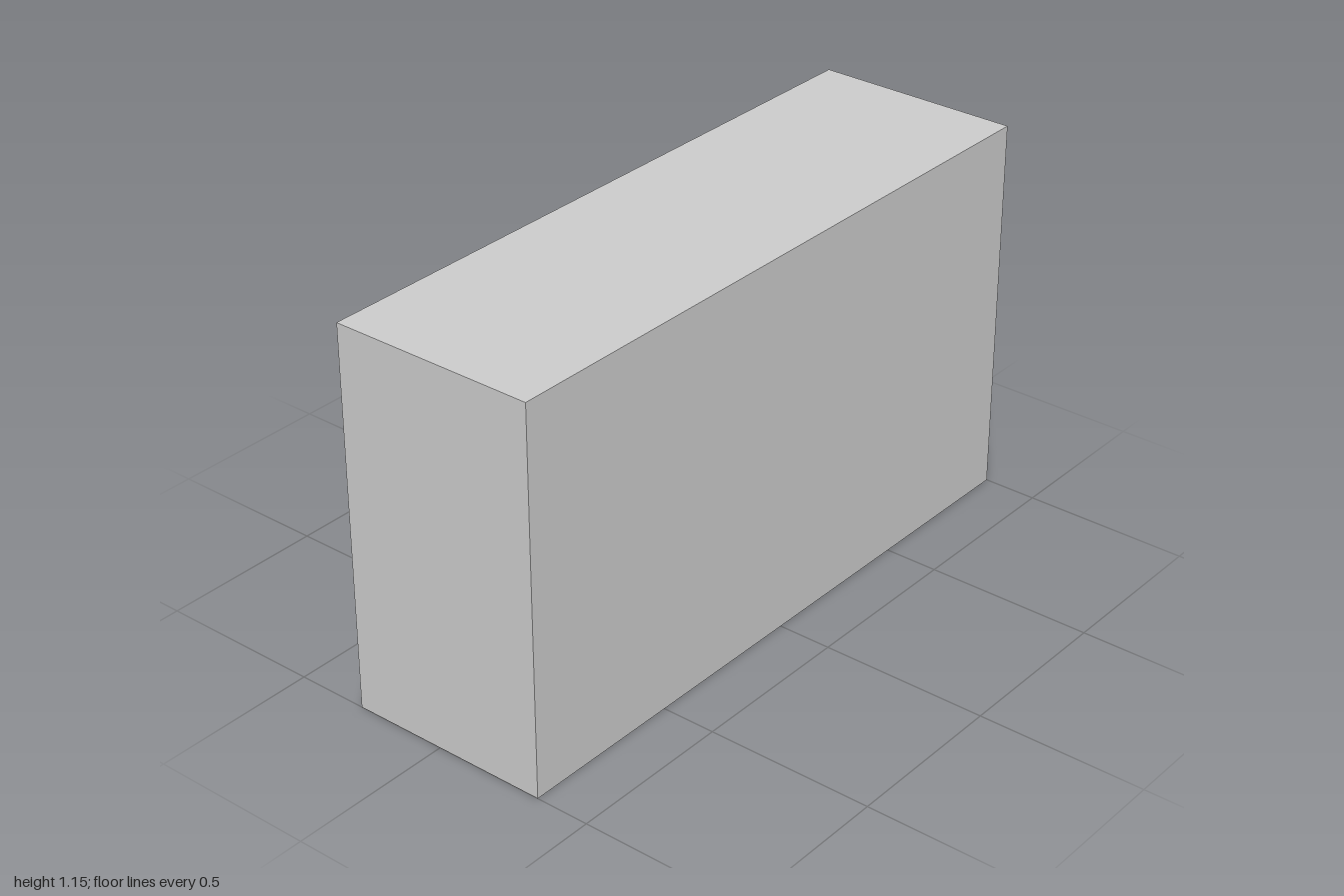
import * as THREE from 'three';

const grey = new THREE.MeshStandardMaterial({ color: 0xcccccc, flatShading: true });
const knobGrey = new THREE.MeshStandardMaterial({ color: 0xcccccc });
const doorBrown = new THREE.MeshStandardMaterial({ color: 0x6a655b, flatShading: true });

// Box given by its minimum and maximum corners
function box(name, min, max, material) {
  const size = max.map((v, i) => v - min[i]);
  const mesh = new THREE.Mesh(new THREE.BoxGeometry(...size), material);
  mesh.position.set(...max.map((v, i) => (v + min[i]) / 2));
  mesh.name = name;
  return mesh;
}

export function createModel() {
  const group = new THREE.Group();
  group.name = 'cabinet';
  const x0 = -0.283, x1 = 0.338, height = 1.15;
  const rim = 0.03, recess = 0.025;

  // Body, with a rim around the shallow recess underneath
  group.add(box('body', [x0, recess, -1], [x1, height, 1], grey));
  const rectangle = (Type, inset) => new Type([
    new THREE.Vector2(x0 + inset, -1 + inset), new THREE.Vector2(x1 - inset, -1 + inset),
    new THREE.Vector2(x1 - inset, 1 - inset), new THREE.Vector2(x0 + inset, 1 - inset),
  ]);
  const outline = rectangle(THREE.Shape, 0);
  outline.holes.push(rectangle(THREE.Path, rim));
  const rimGeometry = new THREE.ExtrudeGeometry(outline, { depth: recess, bevelEnabled: false });
  rimGeometry.rotateX(-Math.PI / 2);
  const bottomRim = new THREE.Mesh(rimGeometry, grey);
  bottomRim.name = 'bottomRim';
  group.add(bottomRim);

  // Flared knob: narrow foot, thin neck and a flat round face
  const knobGeometry = new THREE.LatheGeometry([
    [0.015, 0], [0.009, 0.003], [0.011, 0.005], [0.029, 0.009], [0.029, 0.01], [0, 0.01],
  ].map(([r, y]) => new THREE.Vector2(r, y)), 24);
  knobGeometry.rotateZ(Math.PI / 2);
  const knobMaterial = knobGrey.clone();
  knobMaterial.flatShading = true;

  // Three doors, each with its knob near the same edge
  [[-0.93, -0.425], [-0.285, 0.21], [0.37, 0.865]].forEach(([z, knobZ], i) => {
    group.add(box(`door${i + 1}`, [-0.329, 0.065, z], [x0, 0.975, z + 0.56], doorBrown));
    const knob = new THREE.Mesh(knobGeometry, knobMaterial);
    knob.name = `knob${i + 1}`;
    knob.position.set(-0.329, 0.572, knobZ);
    group.add(knob);
  });

  return group;
}
